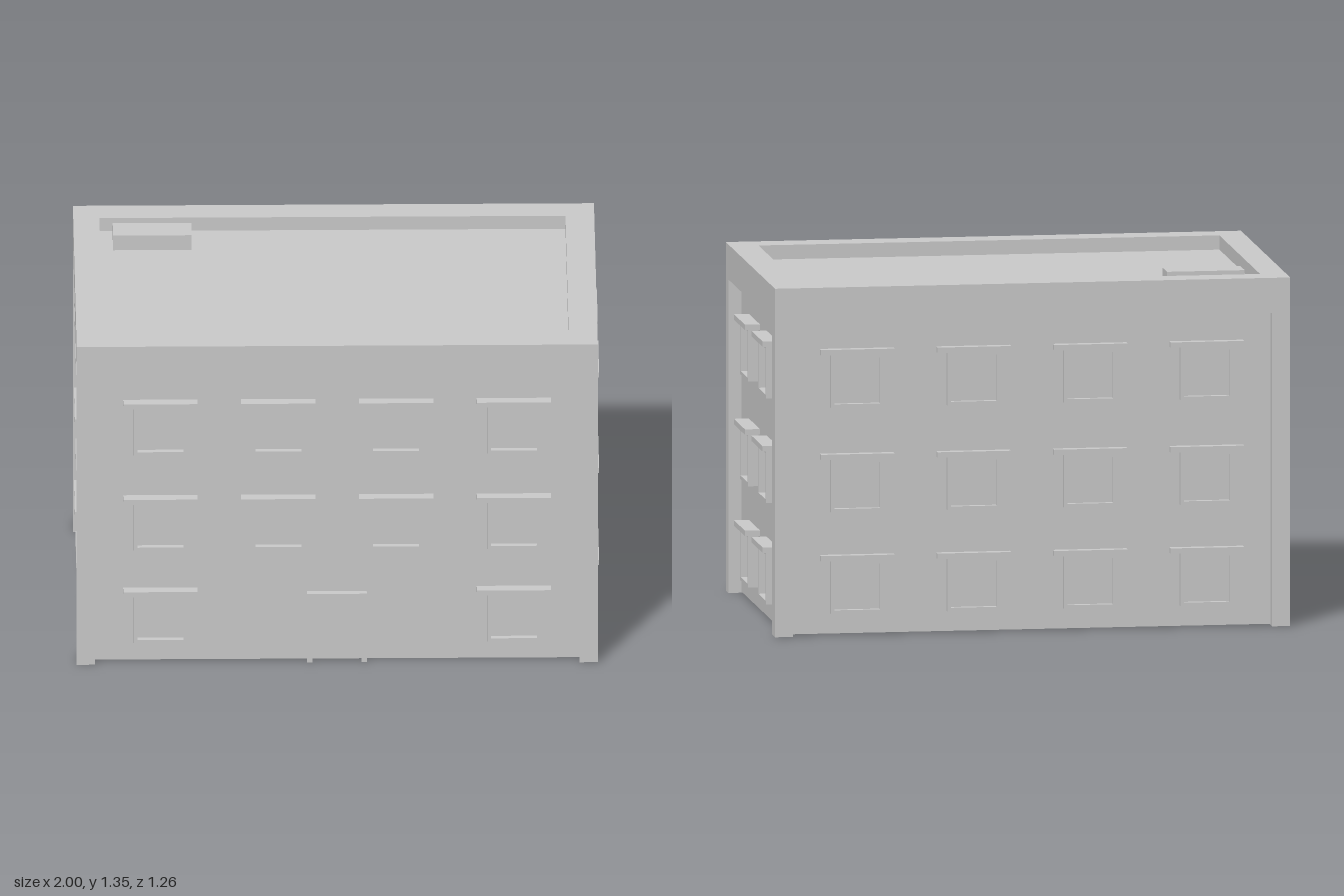
import * as THREE from 'three';

const material = new THREE.MeshStandardMaterial({ color: 0xcccccc, flatShading: true });

// Outer shell and recessed wall limits
const X0 = -1, X1 = 0.99, Z0 = -0.63, Z1 = 0.62;
const WALL = { x0: -0.95, x1: 0.94, z0: -0.595, z1: 0.585 };
const ROOF = 1.29, BAND = 1.21, TOP = 1.345;

function add(parent, name, geometry) {
  const mesh = new THREE.Mesh(geometry, material);
  mesh.name = name;
  parent.add(mesh);
  return mesh;
}

// Box given by its limits on each axis
function block(parent, name, x0, x1, y0, y1, z0, z1) {
  const mesh = add(parent, name, new THREE.BoxGeometry(x1 - x0, y1 - y0, z1 - z0));
  mesh.position.set((x0 + x1) / 2, (y0 + y1) / 2, (z0 + z1) / 2);
  return mesh;
}

function rectangle(x0, x1, y0, y1, Type = THREE.Shape) {
  return new Type([[x0, y0], [x1, y0], [x1, y1], [x0, y1]].map(p => new THREE.Vector2(...p)));
}

// Square frame under a wider lintel; local z = 0 is the wall plane
function makeWindow(frameDepth, lintelDepth) {
  const g = new THREE.Group();
  g.name = 'window';
  const shape = rectangle(-0.102, 0.102, 0, 0.205);
  shape.holes.push(rectangle(-0.088, 0.088, 0.014, 0.192, THREE.Path));
  add(g, 'windowFrame', new THREE.ExtrudeGeometry(shape, { depth: frameDepth, bevelEnabled: false }));
  block(g, 'windowLintel', -0.142, 0.142, 0.205, 0.226, 0, lintelDepth);
  return g;
}

export function createModel() {
  const model = new THREE.Group();
  model.name = 'building';

  // Main body with recessed walls and flat roof
  block(model, 'walls', WALL.x0, WALL.x1, 0.005, ROOF, WALL.z0, WALL.z1);

  // Corner posts
  for (const [x0, x1] of [[X0, -0.93], [0.92, X1]])
    for (const [z0, z1] of [[Z0, -0.555], [0.555, Z1]])
      block(model, 'cornerPost', x0, x1, 0, BAND, z0, z1);

  // Parapet band around the roof
  const ring = rectangle(X0, X1, -Z1, -Z0);
  ring.holes.push(rectangle(-0.9, 0.88, -0.51, 0.52, THREE.Path));
  const parapet = add(model, 'parapet',
    new THREE.ExtrudeGeometry(ring, { depth: TOP - BAND, bevelEnabled: false }));
  parapet.rotation.x = -Math.PI / 2;
  parapet.position.y = BAND;

  // Roof vent
  block(model, 'roofVent', -0.85, -0.55, ROOF, 1.352, -0.46, -0.35);

  // Windows on all four sides
  const rows = [0.083, 0.474, 0.878];
  const wide = [-0.68, -0.23, 0.22, 0.67], narrow = [-0.228, 0.222];
  const place = (x, y, z, turn, frameDepth, lintelDepth) => {
    const w = makeWindow(frameDepth, lintelDepth);
    w.position.set(x, y, z);
    w.rotation.y = turn;
    model.add(w);
  };
  rows.forEach((y, row) => {
    wide.forEach((x, i) => {
      const besideDoor = row === 0 && (i === 1 || i === 2);
      if (!besideDoor) place(x, y, WALL.z1, 0, 0.022, 0.042);
      place(x, y, WALL.z0, Math.PI, 0.022, 0.034);
    });
    for (const z of narrow) {
      place(WALL.x1, y, z, Math.PI / 2, 0.04, 0.058);
      place(WALL.x0, y, z, -Math.PI / 2, 0.04, 0.049);
    }
  });

  // Door surround, open at the bottom
  const surround = new THREE.Shape([
    [-0.12, 0], [-0.1, 0], [-0.1, 0.262], [0.088, 0.262],
    [0.088, 0], [0.108, 0], [0.108, 0.29], [-0.12, 0.29],
  ].map(p => new THREE.Vector2(...p)));
  const door = add(model, 'doorFrame',
    new THREE.ExtrudeGeometry(surround, { depth: 0.025, bevelEnabled: false }));
  door.position.z = WALL.z1;

  return model;
}
